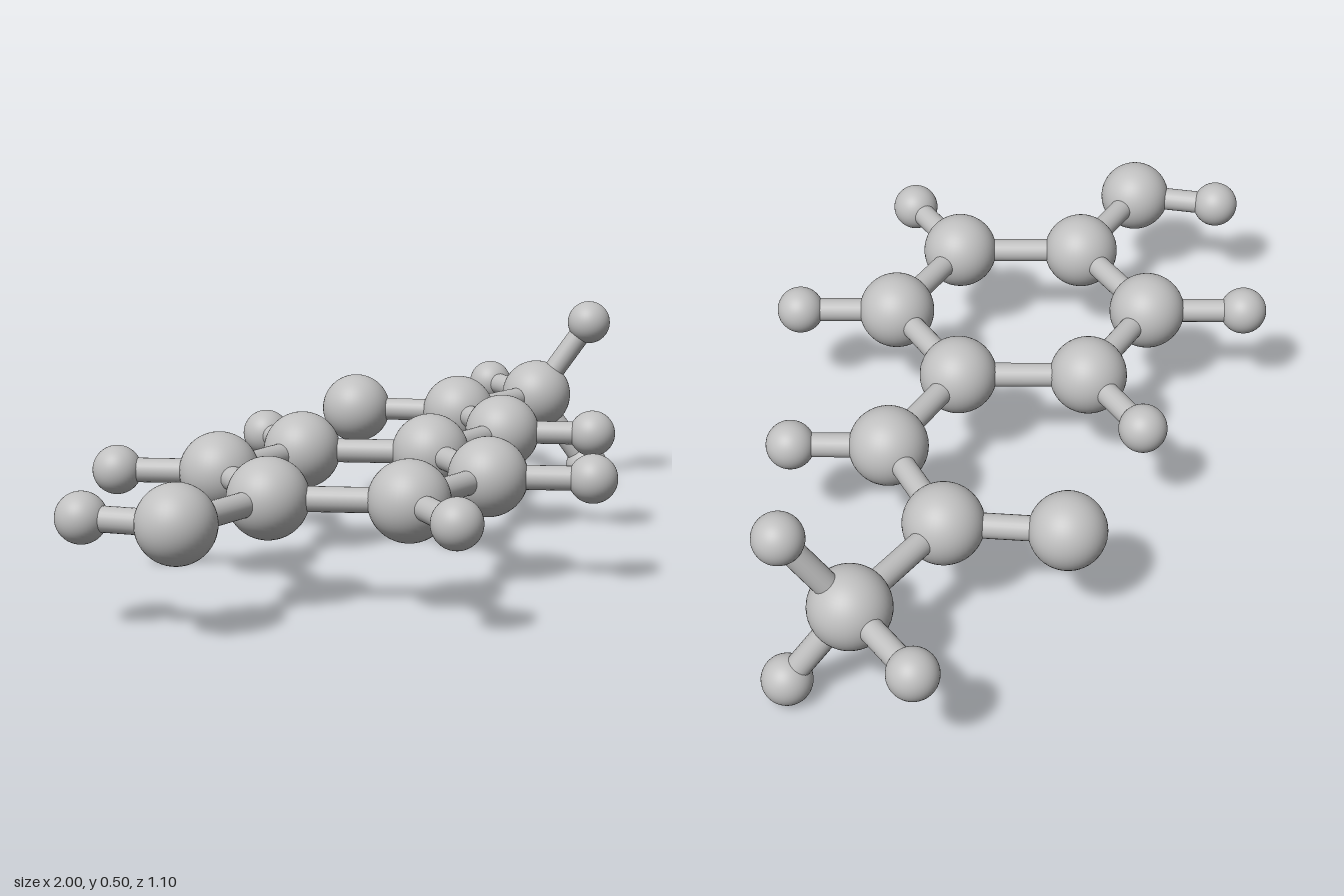
import * as THREE from 'three';

const MID = 0.253; // height of the flat molecule plane
const RADIUS = { carbon: 0.091, oxygen: 0.087, hydrogen: 0.056 };
const BOND_RADIUS = 0.028;

// name: [element, x, z, y (optional)]
const ATOMS = {
  hydroxylOxygen: ['oxygen', -0.876, 0.025],
  hydroxylHydrogen: ['hydrogen', -0.944, -0.175],
  chainCarbon1: ['carbon', 0.344, 0.025],
  chainHydrogen: ['hydrogen', 0.453, 0.218],
  chainCarbon2: ['carbon', 0.514, -0.221],
  carbonylOxygen: ['oxygen', 0.4, -0.465],
  methylCarbon: ['carbon', 0.841, -0.19],
  methylHydrogen1: ['hydrogen', 0.944, -0.406],
  methylHydrogen2: ['hydrogen', 0.92, -0.076, 0.449],
  methylHydrogen3: ['hydrogen', 0.92, -0.076, 0.057],
};

const BONDS = [
  ['hydroxylOxygen', 'hydroxylHydrogen'],
  ['hydroxylOxygen', 'ringCarbon3'],
  ['ringCarbon0', 'chainCarbon1'],
  ['chainCarbon1', 'chainHydrogen'],
  ['chainCarbon1', 'chainCarbon2'],
  ['chainCarbon2', 'carbonylOxygen'],
  ['chainCarbon2', 'methylCarbon'],
  ['methylCarbon', 'methylHydrogen1'],
  ['methylCarbon', 'methylHydrogen2'],
  ['methylCarbon', 'methylHydrogen3'],
];

export function createModel() {
  const model = new THREE.Group();
  model.name = 'ballAndStickMolecule';
  const grey = new THREE.MeshStandardMaterial({ color: 0xc0c0c0 });
  grey.name = 'lightGrey';

  const atoms = { ...ATOMS };
  const bonds = [...BONDS];

  // Six-sided ring, with hydrogens on the four side corners
  const cx = -0.271, cz = 0.025;
  for (let i = 0; i < 6; i++) {
    const a = (i * Math.PI) / 3;
    const at = (r) => [cx + r * Math.cos(a), cz + r * Math.sin(a)];
    atoms['ringCarbon' + i] = ['carbon', ...at(0.305)];
    bonds.push(['ringCarbon' + i, 'ringCarbon' + ((i + 1) % 6)]);
    if (i % 3 !== 0) {
      atoms['ringHydrogen' + i] = ['hydrogen', ...at(0.54)];
      bonds.push(['ringCarbon' + i, 'ringHydrogen' + i]);
    }
  }

  // Balls
  const spheres = {};
  for (const key in RADIUS) spheres[key] = new THREE.SphereGeometry(RADIUS[key], 40, 28);
  const position = {};
  for (const [name, [element, x, z, y = MID]] of Object.entries(atoms)) {
    const ball = new THREE.Mesh(spheres[element], grey);
    ball.name = name;
    ball.position.set(x, y, z);
    position[name] = ball.position;
    model.add(ball);
  }

  // Sticks between ball centres
  const up = new THREE.Vector3(0, 1, 0);
  for (const [from, to] of bonds) {
    const dir = position[to].clone().sub(position[from]);
    const stick = new THREE.Mesh(
      new THREE.CylinderGeometry(BOND_RADIUS, BOND_RADIUS, dir.length(), 24, 1, true), grey);
    stick.name = 'bond';
    stick.position.copy(position[from]).addScaledVector(dir, 0.5);
    stick.quaternion.setFromUnitVectors(up, dir.normalize());
    model.add(stick);
  }
  return model;
}
